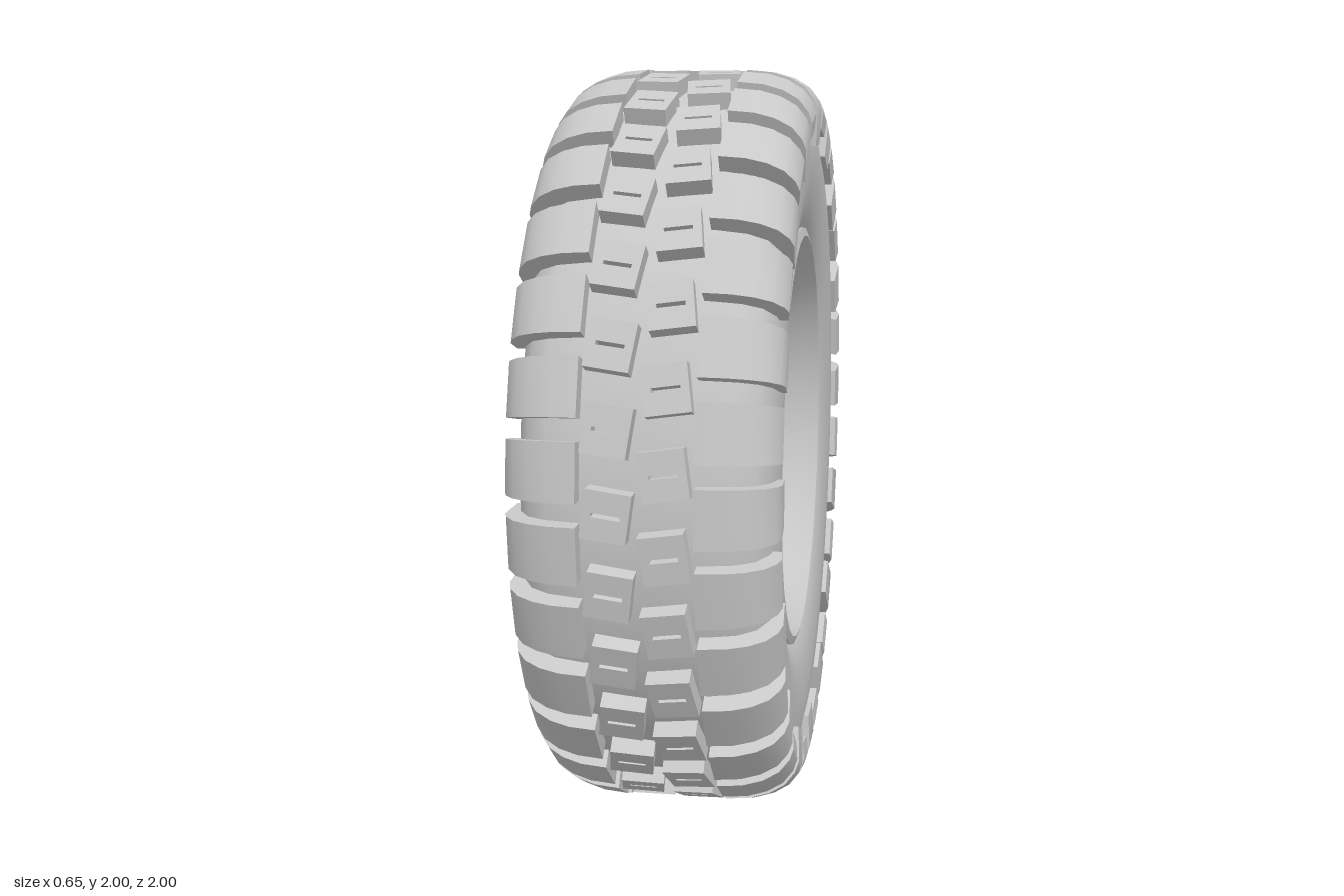
import * as THREE from 'three';
import { toCreasedNormals } from 'three/addons/utils/BufferGeometryUtils.js';

const TAU = Math.PI * 2;
const BLOCKS = 32; // tread blocks per row

export function createModel() {
  const grey = new THREE.MeshStandardMaterial({ color: 0xc8c8c8, side: THREE.DoubleSide });
  grey.name = 'plain grey';

  const model = new THREE.Group();
  model.name = 'offRoadWheel';
  const wheel = new THREE.Group(); // axle runs along x
  wheel.name = 'wheel';
  wheel.position.y = 1;
  model.add(wheel);

  const add = (geometry, name, parent = wheel) => {
    const mesh = new THREE.Mesh(geometry, grey);
    mesh.name = name;
    parent.add(mesh);
    return mesh;
  };
  const group = (name) => {
    const g = new THREE.Group();
    g.name = name;
    wheel.add(g);
    return g;
  };
  // Revolve [radius, x] points around the axle
  const revolve = (points, segments, crease) => {
    const g = new THREE.LatheGeometry(points.map(([r, x]) => new THREE.Vector2(r, x)), segments);
    g.rotateZ(-Math.PI / 2);
    return crease ? toCreasedNormals(g, crease) : g;
  };

  // Tyre carcass, half profile mirrored across the centre
  const half = [[0.955, 0.06], [0.953, 0.15], [0.94, 0.22], [0.915, 0.265], [0.87, 0.293], [0.8, 0.306],
    [0.72, 0.306], [0.65, 0.296], [0.6, 0.28], [0.57, 0.255]];
  const mirrored = half.map(([r, x]) => [r, -x]).reverse();
  add(revolve([...mirrored, ...half], 96), 'tyre');

  // Shoulder blocks wrap from the tread onto the sidewall; every second one is shorter
  const shoulderBlock = (side, low) => {
    const section = [[0.135, 0.94], [0.135, 0.998], [0.2, 0.992], [0.25, 0.977], [0.29, 0.953], [0.315, 0.92],
      [0.324, 0.89], [0.319, low], [0.29, low], [0.27, 0.87], [0.22, 0.92]];
    const shape = new THREE.Shape(section.map(([x, r]) => new THREE.Vector2(side * x, r)));
    const g = new THREE.ExtrudeGeometry(shape, { depth: 0.142, bevelEnabled: false });
    g.translate(0, 0, -0.071);
    const p = g.attributes.position;
    for (let i = 0; i < p.count; i++) p.setZ(i, p.getZ(i) * p.getY(i)); // narrows toward the axle
    return toCreasedNormals(g, 0.4);
  };

  // Centre blocks: slanted, each with a short sipe cut in
  const centreBlock = (side) => {
    const rect = (w, h, Type) => new Type([[-w, -h], [w, -h], [w, h], [-w, h]].map(([x, y]) => new THREE.Vector2(x, y)));
    const shape = rect(0.054, 0.058, THREE.Shape);
    shape.holes.push(rect(0.034, 0.005, THREE.Path));
    const g = new THREE.ExtrudeGeometry(shape, { depth: 0.056, bevelEnabled: false });
    g.rotateZ(side * 0.14);
    g.rotateX(-Math.PI / 2);
    g.translate(side * 0.066, 0.94, 0);
    return g;
  };

  for (const side of [1, -1]) {
    const label = side > 0 ? 'left' : 'right';
    const shoulders = group(label + 'ShoulderTread');
    const centres = group(label + 'CentreTread');
    const kinds = [shoulderBlock(side, 0.8), shoulderBlock(side, 0.845)];
    const centre = centreBlock(side);
    for (let k = 0; k < BLOCKS; k++) {
      const shift = side > 0 ? 0 : 0.5; // the two sides are staggered
      add(kinds[k % 2], 'shoulderBlock', shoulders).rotation.x = ((k + shift) / BLOCKS) * TAU;
      add(centre, 'centreBlock', centres).rotation.x = ((k + 0.5 - shift) / BLOCKS) * TAU;
    }
  }

  // Rim: stepped barrel on the inner side, deep cone on the outer side
  add(revolve([[0.57, -0.25], [0.58, -0.28], [0.557, -0.287], [0.535, -0.262], [0.525, -0.22], [0.5, -0.195],
    [0.5, -0.12], [0.455, -0.08], [0.45, 0], [0.438, 0.09], [0.532, 0.25], [0.557, 0.287], [0.58, 0.28],
    [0.57, 0.25]], 32, 0.45), 'rim');

  // Slotted ring of the wheel disc
  const ring = new THREE.Shape().absarc(0, 0, 0.443, 0, TAU);
  ring.holes.push(new THREE.Path().absarc(0, 0, 0.31, 0, TAU));
  for (let k = 0; k < 10; k++) {
    const a = (k / 10) * TAU;
    const end = (s) => [0.38 * Math.cos(a) - s * Math.sin(a), 0.38 * Math.sin(a) + s * Math.cos(a), 0.024];
    const slot = new THREE.Path();
    slot.absarc(...end(0.033), a, a + Math.PI);
    slot.absarc(...end(-0.033), a + Math.PI, a + TAU);
    slot.closePath();
    ring.holes.push(slot);
  }
  const ringGeometry = new THREE.ExtrudeGeometry(ring, { depth: 0.016, bevelEnabled: false, curveSegments: 16 });
  ringGeometry.rotateY(Math.PI / 2);
  ringGeometry.translate(0.078, 0, 0);
  add(ringGeometry, 'slottedDisc');

  // Dished centre of the disc
  add(revolve([[0.31, 0.094], [0.26, 0.078], [0.2, 0.062], [0.11, 0.055]], 48), 'discCentre');

  // Hub dome
  const dome = new THREE.SphereGeometry(0.115, 32, 12, 0, TAU, 0, Math.PI / 2);
  dome.scale(1, 0.78, 1);
  dome.rotateZ(-Math.PI / 2);
  dome.translate(0.053, 0, 0);
  add(dome, 'hubCap');

  // Five wheel nuts with stud ends
  const nuts = group('wheelNuts');
  const nutGeometry = toCreasedNormals(new THREE.CylinderGeometry(0.028, 0.028, 0.036, 6).rotateZ(-Math.PI / 2), 0.3);
  const studGeometry = new THREE.CylinderGeometry(0.014, 0.014, 0.05, 12).rotateZ(-Math.PI / 2);
  for (let k = 0; k < 5; k++) {
    const a = (k / 5) * TAU;
    const y = 0.198 * Math.cos(a), z = 0.198 * Math.sin(a);
    add(nutGeometry, 'nut', nuts).position.set(0.076, y, z);
    add(studGeometry, 'stud', nuts).position.set(0.076, y, z);
  }

  return model;
}
